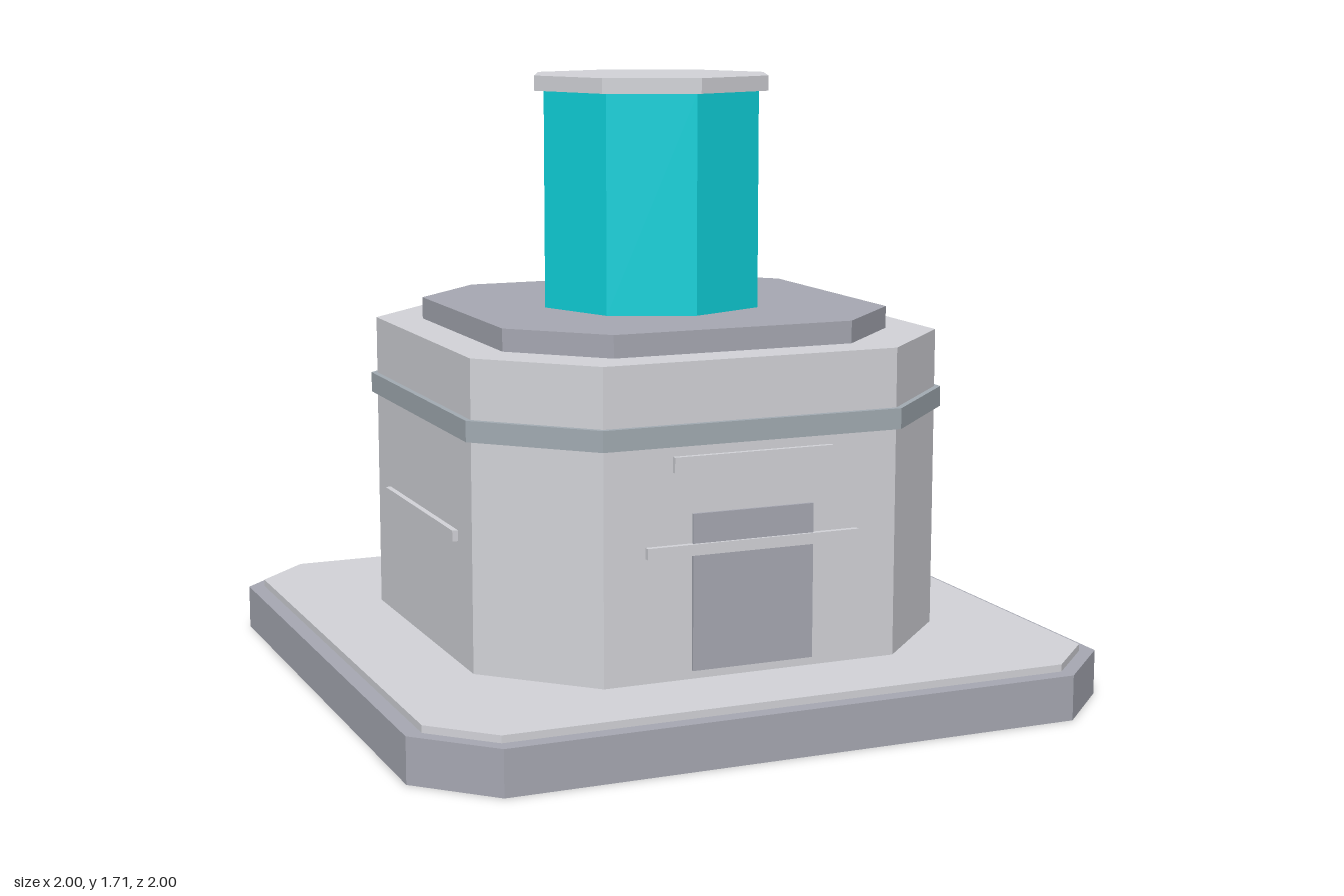
import * as THREE from 'three';

const mat = (name, color) => {
  const m = new THREE.MeshStandardMaterial({ color });
  m.name = name;
  return m;
};

export function createModel() {
  const group = new THREE.Group();
  const light = mat('light grey', 0xd2d3d8);
  const dark = mat('slate grey', 0xa6a8b2);
  const bandGrey = mat('blue grey', 0xa2abb2);
  const teal = mat('teal', 0x0fd1da);

  const add = (name, geometry, material, parent = group) => {
    const mesh = new THREE.Mesh(geometry, material);
    mesh.name = name;
    parent.add(mesh);
    return mesh;
  };

  // Square slab with cut corners: half width h, flat side half length c
  const slab = (name, h, c, y0, y1, material) => {
    const pts = [[h, -c], [h, c], [c, h], [-c, h], [-h, c], [-h, -c], [-c, -h], [c, -h]];
    const shape = new THREE.Shape(pts.map(([x, y]) => new THREE.Vector2(x, y)));
    const geo = new THREE.ExtrudeGeometry(shape, { depth: y1 - y0, bevelEnabled: false });
    geo.rotateX(-Math.PI / 2).translate(0, y0, 0);
    return add(name, geo, material);
  };

  slab('base', 1, 0.81, 0, 0.125, dark);
  slab('floor', 0.955, 0.8, 0.125, 0.145, light);
  slab('body', 0.692, 0.425, 0.145, 0.995, light);
  slab('band', 0.708, 0.432, 0.775, 0.832, bandGrey);
  slab('roofSlab', 0.575, 0.348, 0.995, 1.057, dark);

  // Eight-sided tower with corners on the axes
  const prism = (name, r, y0, y1, material) => {
    const geo = new THREE.CylinderGeometry(r, r, y1 - y0, 8).toNonIndexed();
    geo.computeVertexNormals();
    geo.translate(0, (y0 + y1) / 2, 0);
    add(name, geo, material);
  };
  prism('tower', 0.324, 1.057, 1.665, teal);
  prism('towerCap', 0.352, 1.665, 1.707, light);

  // Box standing out of the front wall, from inside the wall to z1
  const panel = (name, w, y0, y1, z1, material, parent) => {
    const geo = new THREE.BoxGeometry(w, y1 - y0, 0.04);
    geo.translate(0, (y0 + y1) / 2, z1 - 0.02);
    return add(name, geo, material, parent);
  };
  panel('door', 0.35, 0.168, 0.592, 0.7, dark);
  panel('lintel', 0.46, 0.705, 0.747, 0.706, light);

  // One trim bar on each of the four walls
  for (let i = 0; i < 4; i++) {
    panel('trimBar', 0.616, 0.482, 0.512, 0.708, light).rotation.y = i * Math.PI / 2;
  }

  return group;
}
